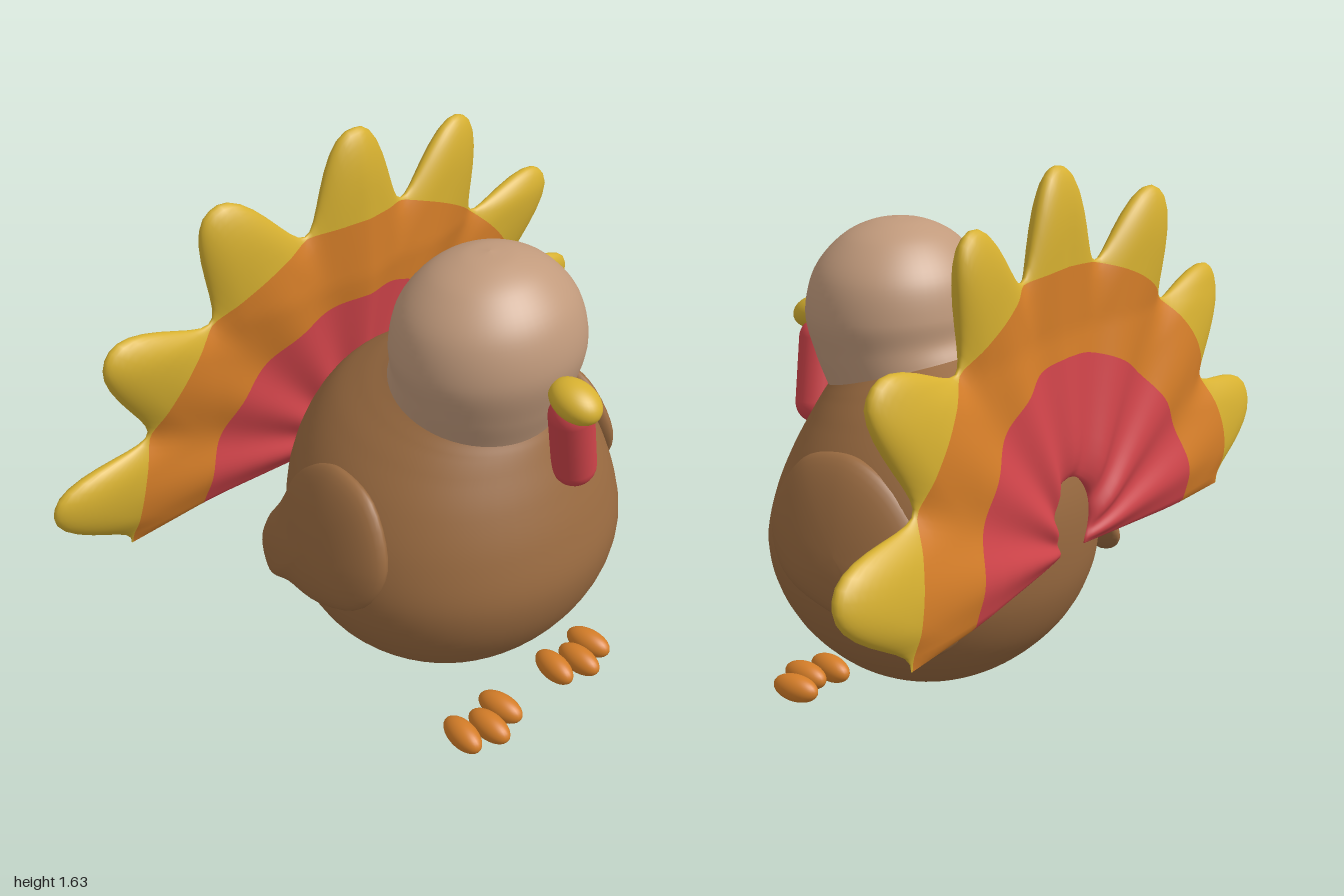
import * as THREE from 'three';

const material = (name, color) => {
  const m = new THREE.MeshStandardMaterial({ color });
  m.name = name;
  return m;
};

// Skin over rows of points; optional wrapping in both directions
function surface(rows, wrapCols, wrapRows, flip = false, rowMaterial = null) {
  const n = rows[0].length, m = rows.length;
  const index = [];
  const geo = new THREE.BufferGeometry();
  for (let i = 0; i < (wrapRows ? m : m - 1); i++) {
    const start = index.length;
    for (let j = 0; j < (wrapCols ? n : n - 1); j++) {
      const i2 = (i + 1) % m, j2 = (j + 1) % n;
      const a = i * n + j, b = i * n + j2, c = i2 * n + j2, d = i2 * n + j;
      if (flip) index.push(a, c, b, a, d, c);
      else index.push(a, b, c, a, c, d);
    }
    if (rowMaterial) geo.addGroup(start, index.length - start, rowMaterial[i]);
  }
  geo.setFromPoints(rows.flat());
  geo.setIndex(index);
  geo.computeVertexNormals();
  return geo;
}

// Tilted elliptical rings, each given as [front z, front y, back z, back y, half width]
function ringLoft(profile, steps) {
  const front = new THREE.CatmullRomCurve3(profile.map(p => new THREE.Vector3(p[4], p[1], p[0])));
  const back = new THREE.CatmullRomCurve3(profile.map(p => new THREE.Vector3(0, p[3], p[2])));
  const rows = [];
  for (let i = 0; i <= steps; i++) {
    const f = front.getPoint(i / steps), b = back.getPoint(i / steps);
    const row = [];
    for (let j = 0; j < 56; j++) {
      const a = j / 56 * Math.PI * 2, c = Math.cos(a);
      row.push(new THREE.Vector3(f.x * Math.sin(a),
        (f.y + b.y) / 2 + c * (f.y - b.y) / 2,
        (f.z + b.z) / 2 + c * (f.z - b.z) / 2));
    }
    rows.push(row);
  }
  return surface(rows, true, false);
}

// Wing: a [z, y] outline puffed up around its middle and bent to the body
function wingGeometry(side) {
  const outline = new THREE.CatmullRomCurve3([
    [0, .9], [.13, .865], [.215, .7], [.155, .56], [-.02, .48], [-.17, .455], [-.3, .41],
    [-.375, .465], [-.355, .545], [-.28, .65], [-.2, .79], [-.1, .87],
  ].map(([z, y]) => new THREE.Vector3(0, y, z)), true).getPoints(60).slice(0, 60);
  const cy = .65, cz = -.05, rows = [];
  for (let i = 0; i <= 20; i++) {
    const phi = (i / 20 - .5) * Math.PI;
    const s = Math.max(Math.cos(phi), .001);
    rows.push(outline.map(p => {
      const y = cy + (p.y - cy) * s, z = cz + (p.z - cz) * s;
      const x = .455 - .2 * (y - .7) + .1 * z - .35 * z * z + .065 * Math.sin(phi);
      return new THREE.Vector3(side * x, y, z);
    }));
  }
  return surface(rows, true, false, side < 0);
}

// Tail: seven merged feathers as a puffed polar fan, banded by radius
function tailGeometry() {
  const spacing = 26, maxAngle = 92, cols = 126, steps = 10;
  const redEnd = .54, orangeEnd = .78, rad = Math.PI / 180;
  const round = (d, w) => Math.sqrt(1 - (1 - Math.min(1, Math.max(0, d) / w)) ** 2);

  // Radial stations: [band, fraction, face], front outwards then back inwards
  const stations = [];
  for (let k = 0; k < steps * 3; k++) stations.push([Math.floor(k / steps), (k % steps) / steps, 1]);
  stations.push([2, 1, 1]);
  for (let k = steps * 3 - 1; k > 0; k--) stations.push([Math.floor(k / steps), (k % steps) / steps, -1]);

  const rows = stations.map(([band, t, face]) => {
    const row = [];
    for (let i = 0; i <= cols; i++) {
      const deg = (i / cols * 2 - 1) * maxAngle, th = deg * rad;
      const axis = spacing * Math.max(-3, Math.min(3, Math.round(deg / spacing)));
      const a = Math.min(1, Math.abs(deg - axis) / 13);
      const outer = .785 + .25 * (1 - Math.sin(a * Math.PI / 2) ** 2.4);
      const inner = .06 + .14 * Math.cos(th) ** 2;
      const r = band === 0 ? inner + (redEnd - inner) * t * t
        : band === 1 ? redEnd + (orangeEnd - redEnd) * t
          : orangeEnd + (outer - orangeEnd) * (1 - (1 - t) ** 2);
      const h = .048 * (.8 + .2 * Math.cos(a * Math.PI))
        * round(r - inner, .12) * round(outer - r, .17) * round((maxAngle - Math.abs(deg)) * rad * r, .12);
      const x = r * Math.sin(th), y = .6 + r * Math.cos(th);
      const z = -.375 - .13 * Math.max(0, 1.2 - y) - .05 * Math.min(1, Math.abs(x) / .5);
      row.push(new THREE.Vector3(x, y, z + face * h));
    }
    return row;
  });
  const bands = stations.map((_, k) => {
    const d = k < steps * 3 ? k : steps * 6 - 1 - k;
    return Math.floor(d / steps);
  });
  return surface(rows, false, true, false, bands);
}

export function createModel() {
  const brown = material('brown plumage', 0x996a40);
  const tan = material('tan head', 0xc19a7c);
  const yellow = material('yellow', 0xd6b030);
  const orange = material('orange', 0xd47d28);
  const red = material('red', 0xd0444a);

  const model = new THREE.Group();
  model.name = 'turkey';
  const add = (name, geo, mat, parent = model) => {
    const mesh = new THREE.Mesh(geo, mat);
    mesh.name = name;
    parent.add(mesh);
    return mesh;
  };
  const ellipsoid = (rx, ry, rz) => new THREE.SphereGeometry(1, 28, 20).scale(rx, ry, rz);

  // Body and head share the tilted neck ring
  const neck = [.32, .97, -.14, 1.105, .252];
  add('body', ringLoft([
    [.01, .107, .01, .107, 0],
    [.08, .113, -.06, .113, .075],
    [.16, .135, -.14, .135, .165],
    [.29, .21, -.27, .21, .305],
    [.40, .33, -.385, .33, .425],
    [.46, .45, -.445, .46, .487],
    [.476, .56, -.462, .59, .505],
    [.446, .69, -.455, .74, .485],
    [.40, .81, -.41, .88, .43],
    [.36, .895, -.335, .99, .36],
    [.335, .945, -.235, 1.06, .298],
    neck,
  ], 66), brown);
  add('head', ringLoft([
    neck,
    [.355, 1.06, -.118, 1.15, .266],
    [.388, 1.19, -.117, 1.21, .28],
    [.363, 1.31, -.093, 1.31, .252],
    [.29, 1.40, -.02, 1.40, .172],
    [.212, 1.441, .058, 1.441, .085],
    [.135, 1.453, .135, 1.453, 0],
  ], 42), tan);

  // Beak and wattle
  const beak = add('beak', ellipsoid(.06, .05, .08), yellow);
  beak.position.set(0, 1.138, .445);
  beak.rotation.x = .28;
  const wattle = add('wattle', new THREE.CapsuleGeometry(.062, .19, 10, 24), red);
  wattle.position.set(.047, .975, .405);
  wattle.rotation.set(.08, 0, .22);

  add('tailFan', tailGeometry(), [red, orange, yellow]);

  // Wings and three-toed feet
  for (const side of [1, -1]) {
    const label = side > 0 ? 'left' : 'right';
    add(label + 'Wing', wingGeometry(side), brown);
    const foot = new THREE.Group();
    foot.name = label + 'Foot';
    foot.position.set(side * .2, .044, 0);
    model.add(foot);
    for (const k of [-1, 0, 1]) {
      const toe = add('toe', ellipsoid(.04, .042, .077), orange, foot);
      toe.position.set(k * .08, 0, k ? .325 : .356);
      toe.rotation.y = k * .12;
    }
  }
  return model;
}
